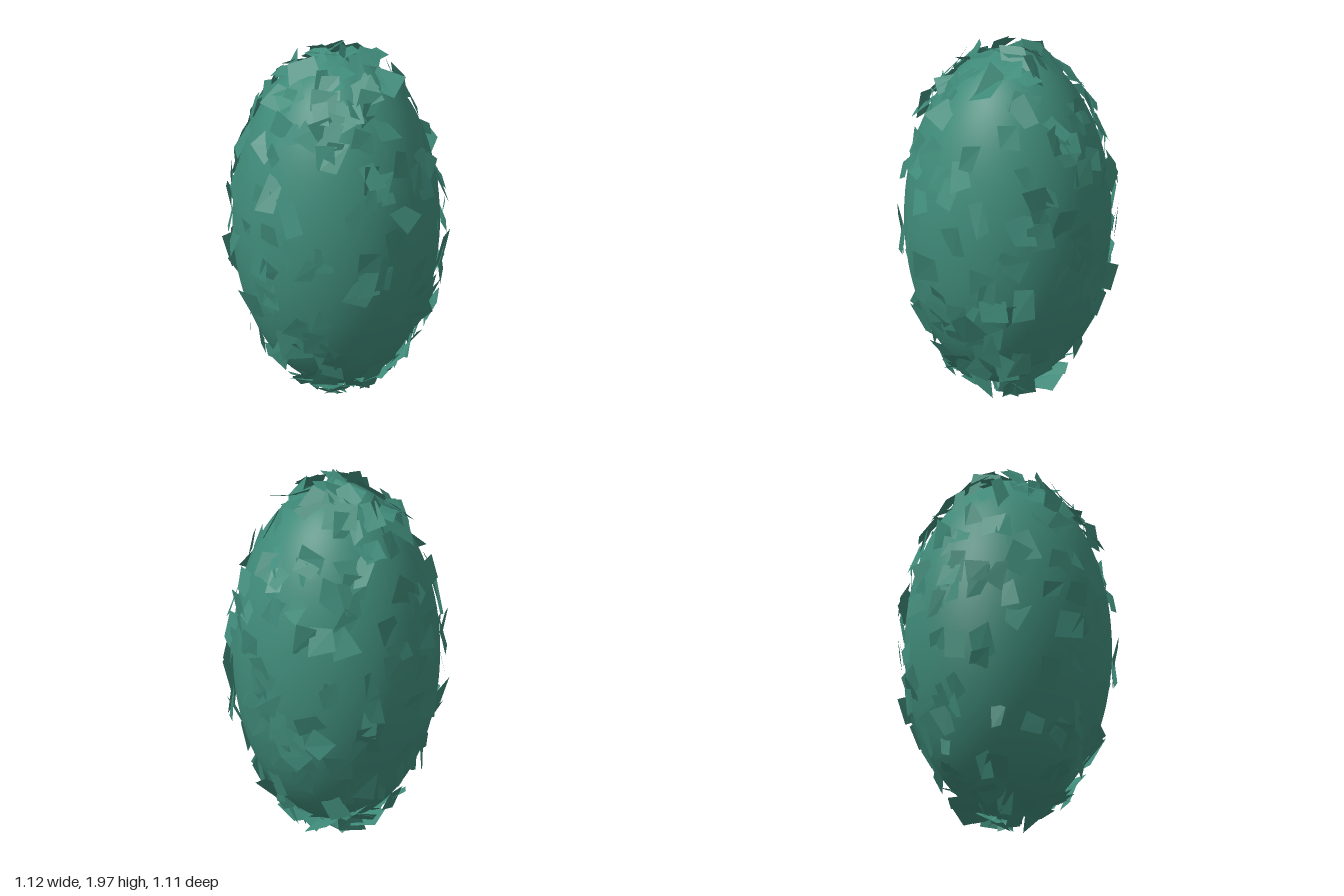
import * as THREE from 'three';
import { mergeGeometries } from 'three/addons/utils/BufferGeometryUtils.js';

const CENTER_Y = 1.02, RADIUS = 0.52, HALF_HEIGHT = 0.9, CHIPS = 270;

// Small seeded random generator, returns values between lo and hi
function seeded(seed) {
  return (lo, hi) => {
    seed = (seed + 0x6d2b79f5) | 0;
    let t = Math.imul(seed ^ (seed >>> 15), 1 | seed);
    t = (t + Math.imul(t ^ (t >>> 7), 61 | t)) ^ t;
    return lo + (hi - lo) * (((t ^ (t >>> 14)) >>> 0) / 4294967296);
  };
}

// One thin, irregular four-cornered chip lying in the xy plane
function chipGeometry(rand) {
  const w = rand(0.035, 0.065), h = rand(0.055, 0.085);
  const chip = new THREE.PlaneGeometry(2 * w, 2 * h);
  const p = chip.attributes.position;
  for (let i = 0; i < p.count; i++) {
    p.setXYZ(i, p.getX(i) + rand(-0.025, 0.025), p.getY(i) + rand(-0.025, 0.025), rand(-0.005, 0.005));
  }
  return chip;
}

export function createModel() {
  const group = new THREE.Group();
  group.name = 'chipCoveredEgg';
  const color = 0x3f8a79;

  // Smooth ellipsoid body
  const bodyGeometry = new THREE.SphereGeometry(1, 64, 48);
  bodyGeometry.scale(RADIUS, HALF_HEIGHT, RADIUS);
  const body = new THREE.Mesh(bodyGeometry, new THREE.MeshStandardMaterial({ color }));
  body.name = 'body';
  body.position.y = CENTER_Y;
  group.add(body);

  // Chips scattered over the surface: sparse and nearly tangent at the waist,
  // denser and more ruffled towards both ends
  const rand = seeded(29);
  const chips = [];
  const holder = new THREE.Object3D();
  for (let i = 0; i < CHIPS; i++) {
    const t = 1 - (2 * (i + 0.5)) / CHIPS;
    const ny = 0.5 * t + 0.5 * Math.sin((t * Math.PI) / 2);
    const angle = rand(0, Math.PI * 2);
    const ring = Math.sqrt(1 - ny * ny);
    const dir = new THREE.Vector3(ring * Math.cos(angle), ny, ring * Math.sin(angle));
    const normal = new THREE.Vector3(dir.x / RADIUS, dir.y / HALF_HEIGHT, dir.z / RADIUS).normalize();
    const tilt = 0.28 + 0.4 * ny * ny;
    holder.position.set(dir.x * RADIUS, CENTER_Y + dir.y * HALF_HEIGHT, dir.z * RADIUS)
      .addScaledVector(normal, rand(0.005, 0.03));
    holder.lookAt(holder.position.clone().add(normal));
    holder.rotateX(rand(-tilt, tilt));
    holder.rotateY(rand(-tilt, tilt));
    holder.rotateZ(rand(-0.45, 0.45));
    holder.updateMatrix();
    chips.push(chipGeometry(rand).applyMatrix4(holder.matrix));
  }
  const shell = new THREE.Mesh(mergeGeometries(chips),
    new THREE.MeshStandardMaterial({ color, side: THREE.DoubleSide, flatShading: true }));
  shell.name = 'surfaceChips';
  group.add(shell);

  // One loose chip hanging at the very bottom, touching the ground
  const hanging = new THREE.Mesh(new THREE.PlaneGeometry(0.1, 0.1), shell.material);
  hanging.name = 'bottomChip';
  hanging.position.set(-0.02, 0.06, 0.05);
  hanging.rotation.set(0.9, 0, 0.6);
  group.add(hanging);

  return group;
}
